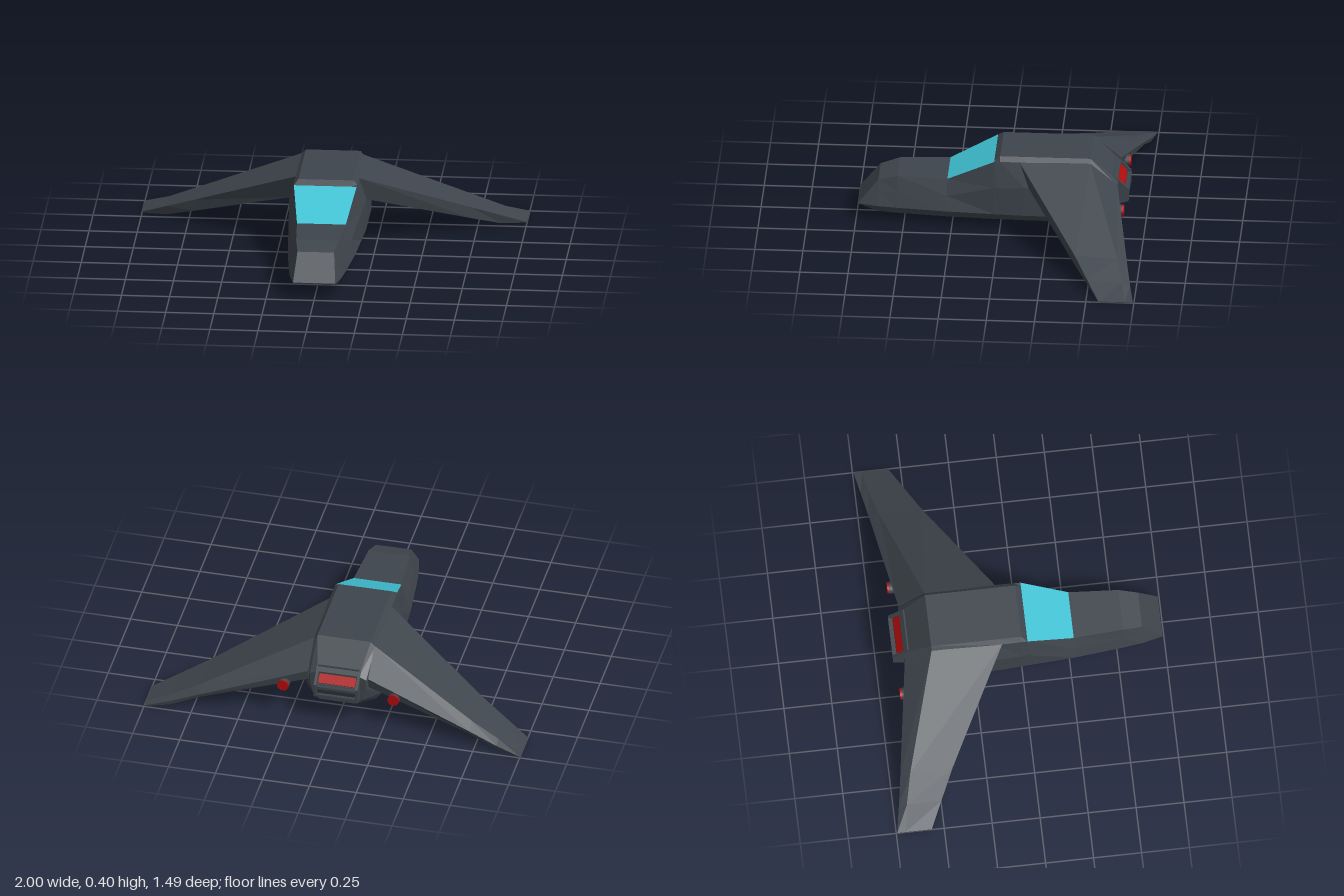
import * as THREE from 'three';

const mat = (name, color) => {
  const m = new THREE.MeshStandardMaterial({ color });
  m.name = name;
  return m;
};

// Skin a row of closed loops (each a list of [x, y, z]) with flat faces and capped ends.
function loft(loops, skip = () => false) {
  const pos = [];
  const tri = (a, b, c) => pos.push(...a, ...b, ...c);
  const n = loops[0].length;
  for (let i = 0; i < loops.length - 1; i++) {
    for (let j = 0; j < n; j++) {
      if (skip(i, j)) continue;
      const k = (j + 1) % n;
      const [a, b, c, d] = [loops[i][j], loops[i][k], loops[i + 1][k], loops[i + 1][j]];
      tri(a, b, c);
      tri(a, c, d);
    }
  }
  const first = loops[0], last = loops[loops.length - 1];
  for (let j = 1; j < n - 1; j++) {
    tri(first[0], first[j + 1], first[j]);
    tri(last[0], last[j], last[j + 1]);
  }
  const g = new THREE.BufferGeometry();
  g.setAttribute('position', new THREE.Float32BufferAttribute(pos, 3));
  g.computeVertexNormals();
  return g;
}

// Side profile of [z, y] points, extruded across x.
function profileX(points, halfWidth) {
  const shape = new THREE.Shape(points.map(([z, y]) => new THREE.Vector2(-z, y)));
  const g = new THREE.ExtrudeGeometry(shape, { depth: halfWidth * 2, bevelEnabled: false });
  g.translate(0, 0, -halfWidth);
  return g.rotateY(Math.PI / 2);
}

export function createModel() {
  const hull = mat('dark slate hull', 0x3e454c);
  const glass = mat('teal glass', 0x40c4d6);
  const glow = mat('red engine glow', 0xb00d0d);
  const dark = mat('dark engine trim', 0x2b3035);
  const group = new THREE.Group();
  const add = (name, geometry, material, parent = group) => {
    const m = new THREE.Mesh(geometry, material);
    m.name = name;
    parent.add(m);
    return m;
  };

  // Fuselage half sections: z, then bottom, chine, shoulder, top edge and roof as [x, y]
  const sections = [
    [0.74, [0.105, 0.088], [0.11, 0.09], [0.11, 0.091], [0.11, 0.092], [0.09, 0.092]],
    [0.635, [0.11, 0.05], [0.135, 0.09], [0.115, 0.16], [0.095, 0.225], [0.075, 0.225]],
    [0.535, [0.125, 0.05], [0.148, 0.09], [0.13, 0.17], [0.11, 0.255], [0.09, 0.255]],
    [0.275, [0.15, 0.05], [0.175, 0.09], [0.155, 0.17], [0.127, 0.255], [0.1, 0.255]],
    [0.03, [0.165, 0.05], [0.19, 0.09], [0.188, 0.24], [0.163, 0.378], [0.14, 0.378]],
    [0, [0.165, 0.05], [0.192, 0.09], [0.192, 0.24], [0.164, 0.38], [0.142, 0.402]],
    [-0.13, [0.17, 0.05], [0.2, 0.09], [0.2, 0.25], [0.165, 0.38], [0.142, 0.402]],
    [-0.47, [0.17, 0.05], [0.2, 0.09], [0.2, 0.25], [0.165, 0.375], [0.142, 0.402]],
    [-0.61, [0.1, 0.1], [0.13, 0.13], [0.15, 0.2], [0.15, 0.255], [0.11, 0.272]],
  ];
  const loops = sections.map(([z, ...half]) => [
    ...half.map(([x, y]) => [x, y, z]),
    ...half.slice().reverse().map(([x, y]) => [-x, y, z]),
  ]);
  // Front-to-back loops run counter-clockwise seen from the front, so flip them to face outward
  const outward = loops.slice().reverse();
  const glassRow = outward.length - 1 - 4;
  add('fuselage', loft(outward, (i, j) => i === glassRow && j >= 3 && j <= 5), hull);

  // Windscreen fills the opening left in the hull
  const [lo, hi] = [loops[3], loops[4]];
  const pane = new THREE.BufferGeometry();
  pane.setAttribute('position', new THREE.Float32BufferAttribute(
    [lo[3], hi[3], hi[6], lo[3], hi[6], lo[6]].flat(), 3));
  pane.computeVertexNormals();
  add('windscreen', pane, glass);

  // Wing sections: x, then leading top, ridge, trailing top, trailing bottom, leading bottom as [y, z]
  const wing = [
    [0.15, [0.382, -0.1], [0.382, -0.47], [0.265, -0.61], [0.21, -0.6], [0.25, -0.15]],
    [0.72, [0.125, -0.425], [0.118, -0.645], [0.085, -0.697], [0.065, -0.69], [0.063, -0.43]],
    [0.87, [0.06, -0.5], [0.052, -0.68], [0.035, -0.722], [0.01, -0.715], [0.01, -0.515]],
    [1, [0.004, -0.565], [0.004, -0.7], [0.003, -0.745], [0, -0.745], [0, -0.565]],
  ];
  for (const s of [1, -1]) {
    const wingLoops = wing.map(([x, ...p]) => {
      const sweep = x === 0.15 ? 0.16 : x;
      const loop = p.map(([y, z], j) => [s * (x === 0.15 && j === 4 ? 0.195 : sweep), y, z]);
      return s > 0 ? loop.reverse() : loop;
    });
    add(s > 0 ? 'leftWing' : 'rightWing', loft(wingLoops), hull);

    // Pod under the wing: rounded nose, red exhaust
    const pod = new THREE.Group();
    pod.name = s > 0 ? 'leftPod' : 'rightPod';
    pod.position.set(s > 0 ? 0.285 : -0.303, 0.18, 0);
    group.add(pod);
    const outline = [[0.029, -0.645], [0.032, -0.64], [0.032, -0.42], [0.024, -0.37], [0, -0.345]];
    const body = new THREE.LatheGeometry(outline.map(([r, z]) => new THREE.Vector2(r, z)), 12);
    add('podBody', body.rotateX(Math.PI / 2), hull, pod);
    const exhaust = new THREE.CylinderGeometry(0.031, 0.031, 0.012, 12).rotateX(Math.PI / 2);
    add('podExhaust', exhaust, glow, pod).position.z = -0.646;
  }

  // Engine housing: core, side rails and lips around the sloping red panel
  const core = [[-0.54, 0.3], [-0.575, 0.288], [-0.645, 0.215], [-0.645, 0.16], [-0.6, 0.13], [-0.54, 0.13]];
  const rail = [[-0.54, 0.31], [-0.585, 0.297], [-0.665, 0.222], [-0.665, 0.152], [-0.6, 0.13], [-0.54, 0.13]];
  add('engineCore', profileX(core.slice().reverse(), 0.105), dark);
  for (const s of [1, -1]) {
    add('engineRail', profileX(rail.slice().reverse(), 0.007), hull).position.x = s * 0.11;
  }
  const lip = (name, y, z) =>
    add(name, new THREE.BoxGeometry(0.22, 0.014, 0.03), hull).position.set(0, y, z);
  lip('upperLip', 0.291, -0.575);
  lip('middleLip', 0.207, -0.652);
  lip('lowerLip', 0.155, -0.647);
  const panel = add('enginePanel', new THREE.BoxGeometry(0.195, 0.008, 0.074), glow);
  panel.position.set(0, 0.25, -0.616);
  panel.rotation.x = -Math.atan2(0.073, 0.07);

  return group;
}
